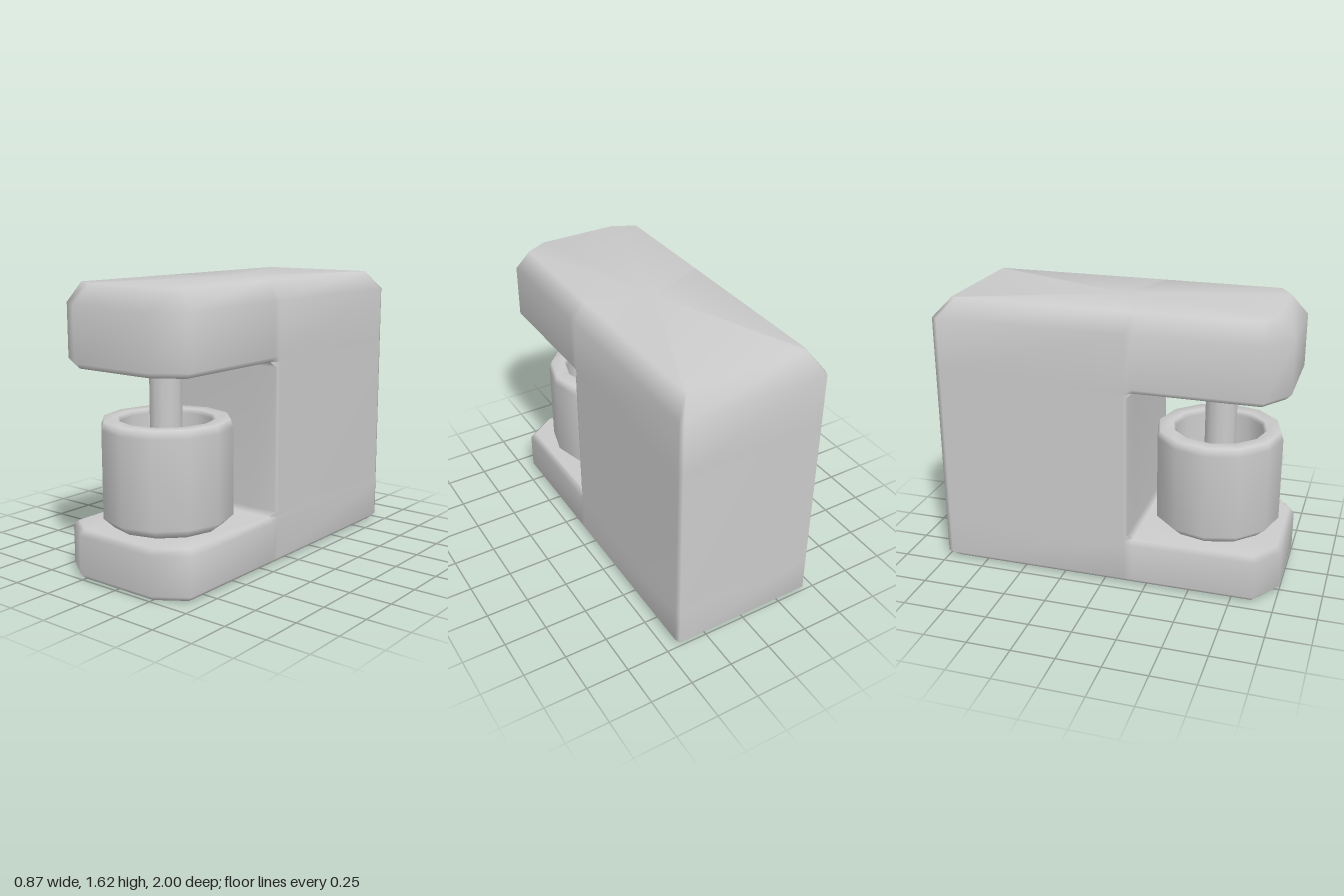
import * as THREE from 'three';

const grey = new THREE.MeshStandardMaterial({ color: 0xcccccc });

function part(name, geometry, parent) {
  const mesh = new THREE.Mesh(geometry, grey);
  mesh.name = name;
  parent.add(mesh);
  return mesh;
}

// Closed solid from half outlines (front to back) that are mirrored in x; normals are area weighted
function loft(rings) {
  const pos = [], index = [];
  const n = rings[0].half.length * 2;
  for (const { y, half } of rings) {
    const mirrored = half.map(([x, z]) => [-x, z]).reverse();
    for (const [x, z] of [...half, ...mirrored]) pos.push(x, y, z);
  }
  const last = (rings.length - 1) * n;
  for (let i = 0; i < n; i++) {
    const k = (i + 1) % n;
    for (let j = 0; j < last; j += n) {
      index.push(j + i, j + k, j + n + k, j + i, j + n + k, j + n + i);
    }
  }
  // end caps
  const bottom = pos.length / 3;
  pos.push(0, rings[0].y, 0, 0, rings[rings.length - 1].y, 0);
  for (let i = 0; i < n; i++) {
    const k = (i + 1) % n;
    index.push(bottom, k, i, bottom + 1, last + i, last + k);
  }
  const geo = new THREE.BufferGeometry();
  geo.setAttribute('position', new THREE.Float32BufferAttribute(pos, 3));
  geo.setIndex(index);
  geo.computeVertexNormals();
  return geo;
}

const W = 0.435; // half width of the housing

// Back end of every outline, with a slim corner bevel
const back = (dx, dz) => [[W - dx, -0.97 + dz], [W - 0.012 - dx, -1 + dz]];

// Full-length outline: dx, dz are the insets of the arm, cx, cz those of the column
const full = (y, dx, dz, cx = dx, cz = dz) => ({
  y,
  half: [[0.26 - dx / 3, 1 - dz], [W - dx, 0.88 - dz / 2], [W - dx, 0.165], [W - cx, 0.12], ...back(cx, cz)],
});

// Outline of the column alone
const column = (y) => ({
  y,
  half: [[0.26, 0.14], [W - 0.012, 0.14], [W, 0.128], [W, 0.12], ...back(0, 0)],
});

// Where the arm surface meets the column fillet
const ledge = (y) => ({
  y,
  half: [[0.25, 0.165], [W - 0.03, 0.165], [W - 0.03, 0.165], [W, 0.12], ...back(0, 0)],
});

export function createModel() {
  const model = new THREE.Group();
  model.name = 'standMixer';

  // C-shaped housing: base, column and head in one piece
  part('housing', loft([
    full(0, 0.03, 0.03),
    full(0.03, 0, 0),
    full(0.25, 0, 0),
    full(0.28, 0.03, 0.03, 0, 0),
    ledge(0.28),
    column(0.31),
    column(1.14),
    ledge(1.17),
    full(1.17, 0.03, 0.03, 0, 0),
    full(1.2, 0, 0),
    full(1.505, 0, 0),
    full(1.615, 0.068, 0.095),
  ]), model);

  // Hollow twelve-sided bowl with a thick bevelled rim
  const profile = [
    [0, 0.28], [0.31, 0.28], [0.37, 0.335], [0.37, 0.83], [0.355, 0.875],
    [0.275, 0.875], [0.26, 0.85], [0.26, 0.42], [0.22, 0.38], [0, 0.38],
  ].map(([r, y]) => new THREE.Vector2(r, y));
  part('bowl', new THREE.LatheGeometry(profile, 12), model).position.z = 0.57;

  // Mixing shaft hanging from the head into the bowl
  const shaft = part('shaft', new THREE.CylinderGeometry(0.092, 0.092, 0.75, 12), model);
  shaft.position.set(0, 0.825, 0.575);

  return model;
}
